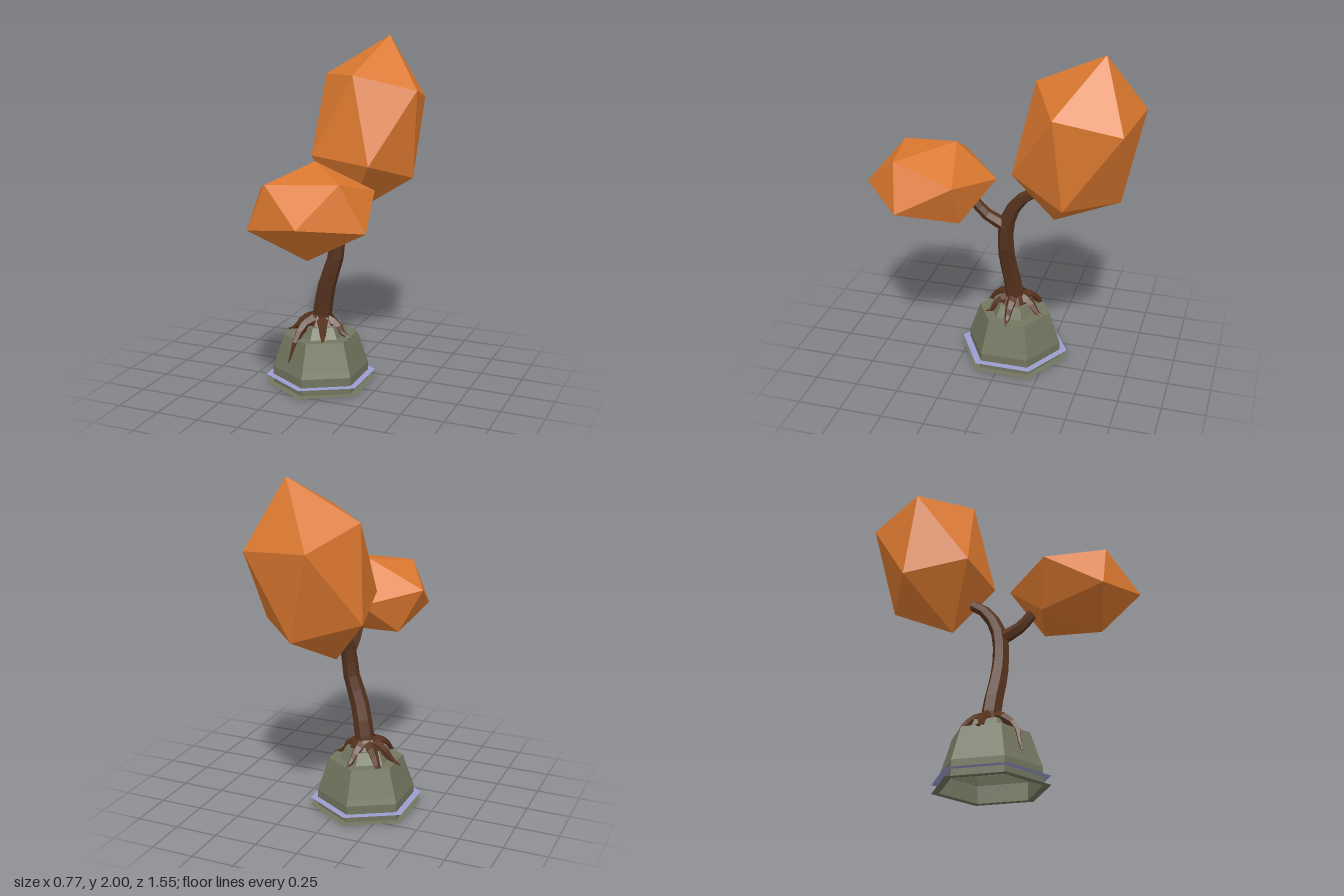
import * as THREE from 'three';
import { ConvexGeometry } from 'three/addons/geometries/ConvexGeometry.js';

const makeMaterial = (name, color) => {
  const m = new THREE.MeshStandardMaterial({ color, flatShading: true, side: THREE.DoubleSide });
  m.name = name;
  return m;
};

export function createModel() {
  const group = new THREE.Group();
  const leaf = makeMaterial('orange leaf', 0xdb782f);
  const bark = makeMaterial('brown bark', 0x57331f);
  const stone = makeMaterial('grey green stone', 0x72755f);
  const lilac = makeMaterial('lilac trim', 0x9b9ed0);

  const add = (name, geometry, material, x = 0, y = 0, z = 0) => {
    const mesh = new THREE.Mesh(geometry, material);
    mesh.name = name;
    mesh.position.set(x, y, z);
    group.add(mesh);
    return mesh;
  };

  // Tapering tube along a path; radii are spread evenly along its length
  const limb = (name, path, radii, segments, sides = 6) => {
    const curve = new THREE.CatmullRomCurve3(path.map(p => new THREE.Vector3(...p)));
    const geometry = new THREE.TubeGeometry(curve, segments, 1, sides);
    const pos = geometry.attributes.position;
    const v = new THREE.Vector3();
    for (let i = 0; i <= segments; i++) {
      const u = i / segments, c = curve.getPointAt(u);
      const t = u * (radii.length - 1), k = Math.min(Math.floor(t), radii.length - 2);
      const r = THREE.MathUtils.lerp(radii[k], radii[k + 1], t - k);
      for (let j = 0; j <= sides; j++) {
        const n = i * (sides + 1) + j;
        v.fromBufferAttribute(pos, n).sub(c).multiplyScalar(r).add(c);
        pos.setXYZ(n, v.x, v.y, v.z);
      }
    }
    add(name, geometry, bark);
  };

  // Twenty-sided leaf clump: six corners and their opposites about a centre
  const clump = (name, centre, corners) => {
    const points = corners.flatMap(c => {
      const v = new THREE.Vector3(...c);
      return [v, v.clone().negate()];
    });
    add(name, new ConvexGeometry(points), leaf, ...centre);
  };

  // Hexagonal stone base, open underneath
  const cx = -0.106, cz = -0.042;
  const profile = [[0.283, 0], [0.283, 0.1], [0.27, 0.135], [0.216, 0.295],
    [0.155, 0.295], [0.12, 0.36], [0, 0.36]].map(p => new THREE.Vector2(...p));
  add('stoneBase', new THREE.LatheGeometry(profile, 6), stone, cx, 0, cz);

  // Flat rims around the foot
  const rim = () => new THREE.RingGeometry(0.281, 0.326, 6, 1, Math.PI / 6).rotateX(-Math.PI / 2);
  add('lilacRim', rim(), lilac, cx, 0.05, cz);
  add('footRim', rim(), stone, cx, 0.001, cz);

  // Trunk, bending into the back branch
  limb('trunk', [[-0.105, 0.34, -0.045], [-0.09, 0.46, -0.04], [-0.05, 0.63, -0.018],
    [-0.005, 0.76, -0.015], [0.012, 0.92, -0.024], [0.02, 1.02, -0.06],
    [0.03, 1.12, -0.14], [0.035, 1.18, -0.24], [0.04, 1.28, -0.32]],
  [0.058, 0.055, 0.052, 0.047, 0.045, 0.036, 0.032, 0.03], 12);

  // Front branch
  limb('frontBranch', [[0.012, 0.91, -0.02], [0.015, 0.945, 0.05],
    [0.02, 0.985, 0.11], [0.025, 1.06, 0.17], [0.03, 1.13, 0.27]],
  [0.04, 0.034, 0.03, 0.027], 6);

  // Root flare and roots creeping over the stone
  add('rootFlare', new THREE.CylinderGeometry(0.056, 0.1, 0.06, 6), bark, -0.108, 0.386, -0.045);
  const roots = [
    [[-0.13, 0.385, 0.0], [-0.17, 0.362, 0.05], [-0.19, 0.3, 0.12], [-0.205, 0.24, 0.135], [-0.226, 0.16, 0.158]],
    [[-0.16, 0.385, -0.05], [-0.22, 0.36, -0.06], [-0.27, 0.305, -0.05], [-0.325, 0.285, -0.06]],
    [[-0.06, 0.38, -0.04], [0.0, 0.36, -0.04], [0.035, 0.31, -0.035], [0.095, 0.288, -0.04]],
    [[-0.1, 0.38, -0.09], [-0.09, 0.36, -0.14], [-0.07, 0.305, -0.19], [-0.065, 0.29, -0.235]],
    [[-0.14, 0.38, -0.08], [-0.18, 0.36, -0.12], [-0.225, 0.3, -0.165], [-0.25, 0.22, -0.19]],
    [[-0.08, 0.38, 0.0], [-0.06, 0.362, 0.04], [-0.04, 0.305, 0.085], [-0.03, 0.295, 0.12]],
  ];
  roots.forEach((path, i) => limb(`root${i + 1}`, path, [0.038, 0.026, 0.018, 0.003], 5, 5));

  // Leaf clumps
  clump('backLeaves', [0.039, 1.48, -0.434], [
    [0.071, 0.52, -0.144], [0.32, 0.23, 0.08], [-0.012, 0.32, 0.244],
    [-0.284, 0.29, -0.023], [-0.124, 0.18, -0.341], [0.251, 0.15, -0.281]]);
  clump('frontLeaves', [0.038, 1.153, 0.41], [
    [-0.038, 0.237, -0.14], [0.217, 0.182, 0.145], [-0.168, 0.167, 0.215],
    [-0.348, 0.072, -0.1], [0.072, -0.018, 0.362], [-0.278, -0.088, 0.21]]);

  return group;
}
